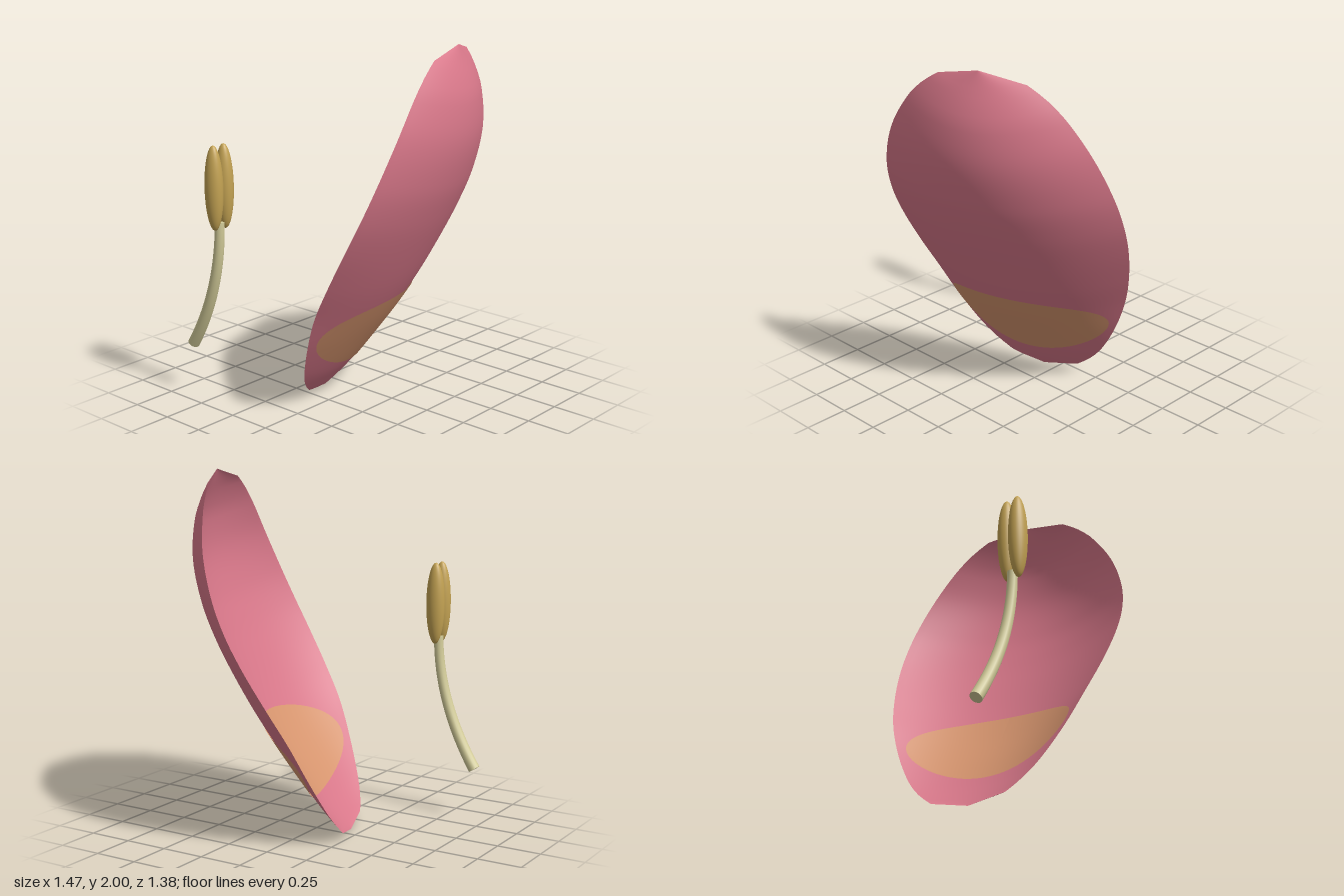
import * as THREE from 'three';

const mat = (name, color, side = THREE.FrontSide) => {
  const m = new THREE.MeshStandardMaterial({ color, side });
  m.name = name;
  return m;
};

// Petal stations along its length: [distance, half width, height at midrib, height at rim]
const STATIONS = [
  [0, 0.002, 0.004, 0.004],
  [0.037, 0.215, 0.02, -0.014],
  [0.1, 0.295, 0.046, -0.02],
  [0.21, 0.385, 0.085, -0.023],
  [0.414, 0.495, 0.142, -0.025],
  [0.64, 0.583, 0.2, -0.022],
  [0.86, 0.643, 0.243, 0.002],
  [1.1, 0.684, 0.274, 0.032],
  [1.3, 0.691, 0.292, 0.052],
  [1.5, 0.662, 0.296, 0.058],
  [1.73, 0.577, 0.266, 0.045],
  [1.92, 0.45, 0.19, 0.014],
  [2.02, 0.345, 0.117, -0.006],
  [2.08, 0.25, 0.06, -0.019],
  [2.143, 0.002, 0, 0],
];
const LAST = STATIONS.length - 1;

// Smooth interpolation of one station column; straight at both blunt ends
function station(t, col) {
  let i = 0;
  while (i < LAST - 1 && t > STATIONS[i + 1][0]) i++;
  const a = STATIONS[i], b = STATIONS[i + 1];
  const d = b[0] - a[0], f = (t - a[0]) / d;
  if (i === 0 || i === LAST - 1) return a[col] + (b[col] - a[col]) * f;
  const slope = (k) => {
    const p = STATIONS[Math.max(k - 1, 1)], q = STATIONS[Math.min(k + 1, LAST - 1)];
    return (q[col] - p[col]) / (q[0] - p[0]);
  };
  const f2 = f * f, f3 = f2 * f;
  return (2 * f3 - 3 * f2 + 1) * a[col] + (f3 - 2 * f2 + f) * d * slope(i)
    + (3 * f2 - 2 * f3) * b[col] + (f3 - f2) * d * slope(i + 1);
}

// Cupped petal surface: t along the length, x across the width
function petalPoint(t, x, lift = 0) {
  const s = THREE.MathUtils.clamp(x / station(t, 1), -1, 1);
  const mid = station(t, 2), rim = station(t, 3);
  return [x, t, rim + (mid - rim) * (1 - s * s) + lift];
}

// Grid surface from a point rule
function sheet(rows, cols, point) {
  const pos = [], idx = [];
  for (let i = 0; i <= rows; i++) {
    for (let j = 0; j <= cols; j++) {
      pos.push(...point(i, j));
      if (i < rows && j < cols) {
        const a = i * (cols + 1) + j, b = a + cols + 1;
        idx.push(a, a + 1, b, a + 1, b + 1, b);
      }
    }
  }
  const g = new THREE.BufferGeometry();
  g.setAttribute('position', new THREE.Float32BufferAttribute(pos, 3));
  g.setIndex(idx);
  g.computeVertexNormals();
  return g;
}

function add(parent, name, geometry, material) {
  const m = new THREE.Mesh(geometry, material);
  m.name = name;
  parent.add(m);
  return m;
}

export function createModel() {
  const model = new THREE.Group();
  model.name = 'petalAndStamen';
  const pink = mat('petal pink', 0xd9788a, THREE.DoubleSide);
  const orange = mat('blotch orange', 0xd8966f, THREE.DoubleSide);
  const gold = mat('anther gold', 0xc4a353);
  const cream = mat('filament cream', 0xd4cd9a);

  // Petal, leaning forward and turned slightly
  const petal = new THREE.Group();
  petal.name = 'petal';
  petal.position.set(-0.088, 0, -0.178);
  petal.rotation.set(0.367, 0.316, 0, 'YXZ');
  model.add(petal);
  const ROWS = 60, COLS = 40;
  add(petal, 'petalBlade', sheet(ROWS, COLS, (i, j) => {
    const t = i === 0 ? 0 : i === ROWS ? 2.143 : 0.037 + (2.08 - 0.037) * (i - 1) / (ROWS - 2);
    return petalPoint(t, station(t, 1) * (j / COLS * 2 - 1));
  }), pink);

  // Oval blotch on both faces of the petal
  for (const [name, centre, reach, lift] of [
    ['frontBlotch', 0.508, 0.256, 0.005],
    ['backBlotch', 0.522, 0.266, -0.005],
  ]) {
    add(petal, name, sheet(20, 72, (i, j) => {
      const r = Math.max(i / 20, 0.005), a = j / 72 * Math.PI * 2;
      return petalPoint(centre + reach * r * Math.cos(a), 0.483 * r * Math.sin(a), lift);
    }), orange);
  }

  // Stamen: tapered curved filament with a flat cut base
  const stamen = new THREE.Group();
  stamen.name = 'stamen';
  model.add(stamen);
  const path = new THREE.QuadraticBezierCurve3(
    new THREE.Vector3(-0.645, 0.286, -0.662),
    new THREE.Vector3(-0.653, 0.65, -0.422),
    new THREE.Vector3(-0.653, 1.04, -0.415));
  const SEG = 24, SIDES = 16;
  const tube = new THREE.TubeGeometry(path, SEG, 0.034, SIDES);
  const p = tube.attributes.position, v = new THREE.Vector3();
  for (let k = 0; k < p.count; k++) {
    const u = Math.floor(k / (SIDES + 1)) / SEG, c = path.getPointAt(u);
    v.fromBufferAttribute(p, k).sub(c).multiplyScalar(1 - 0.22 * u).add(c);
    p.setXYZ(k, v.x, v.y, v.z);
  }
  add(stamen, 'filament', tube, cream);
  for (const [name, u, r, dir] of [['filamentBase', 0, 0.034, -1], ['filamentTop', 1, 0.0265, 1]]) {
    const cap = add(stamen, name, new THREE.CircleGeometry(r, SIDES), cream);
    cap.position.copy(path.getPointAt(u));
    cap.quaternion.setFromUnitVectors(new THREE.Vector3(0, 0, 1),
      path.getTangentAt(u).multiplyScalar(dir));
  }

  // Pair of long anther lobes
  for (const [name, x] of [['rightAnther', -0.69], ['leftAnther', -0.615]]) {
    const lobe = add(stamen, name, new THREE.SphereGeometry(1, 32, 24), gold);
    lobe.scale.set(0.047, 0.233, 0.054);
    lobe.position.set(x, 1.232, -0.411);
  }
  return model;
}
